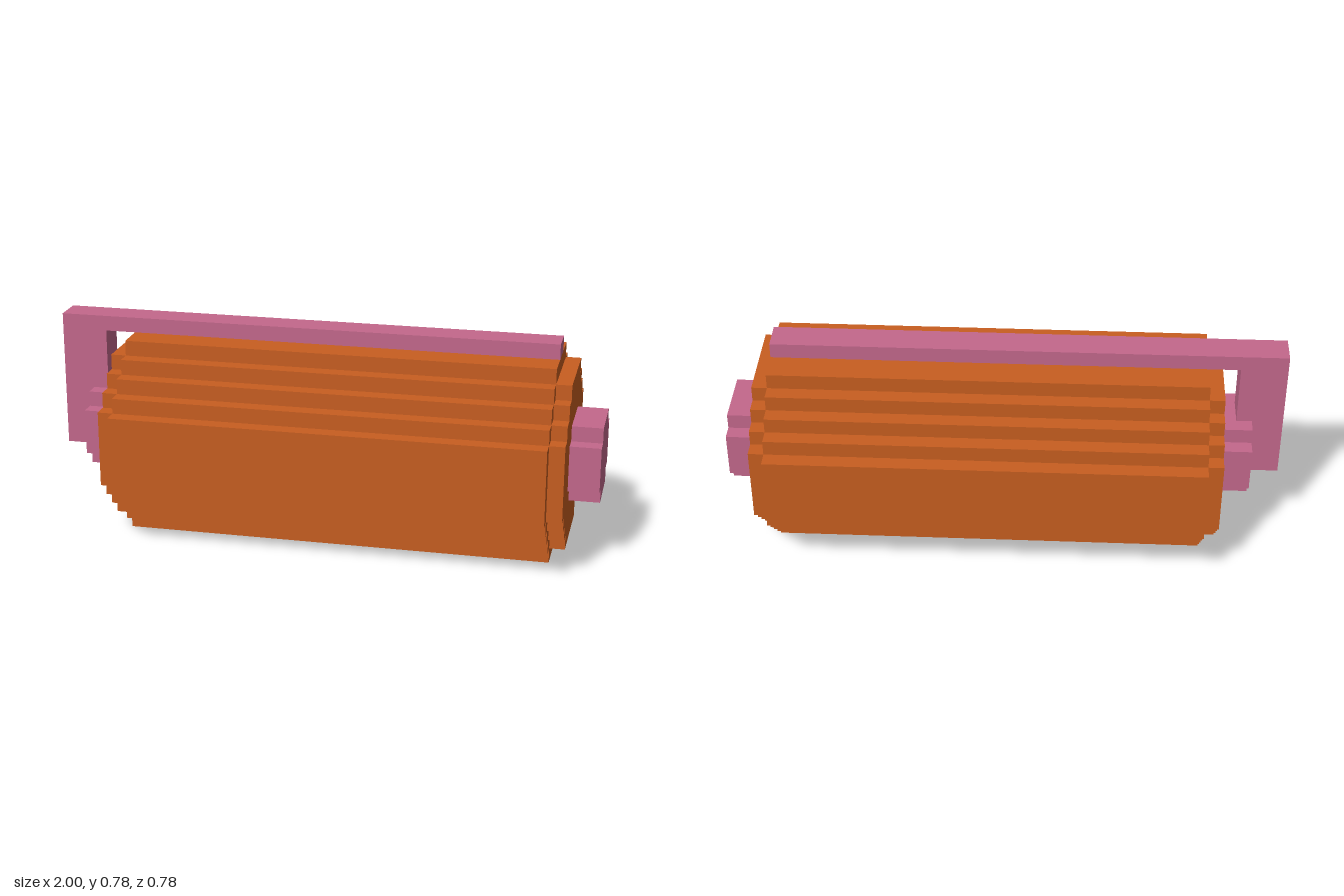
import * as THREE from 'three';

const U = 1 / 18; // size of one block step
const MID = 6.5;  // height of the roller axis, in steps

// Stepped round section: each step is [half width, bottom]; the top half mirrors the bottom.
function steppedShape(steps) {
  const right = [];
  steps.forEach(([w, y], i) => {
    right.push([w, y]);
    if (i < steps.length - 1) right.push([w, steps[i + 1][1]]);
  });
  right.push(...right.slice().reverse().map(([w, y]) => [w, 2 * MID - y]));
  const left = right.slice().reverse().map(([w, y]) => [-w, y]);
  return new THREE.Shape([...right, ...left].map(([x, y]) => new THREE.Vector2(x * U, y * U)));
}

// Section extruded along x from x0 to x1 (in steps).
function steppedBar(name, steps, x0, x1, material) {
  const geometry = new THREE.ExtrudeGeometry(steppedShape(steps), { depth: (x1 - x0) * U, bevelEnabled: false });
  geometry.rotateY(Math.PI / 2).translate(x0 * U, 0, 0);
  const mesh = new THREE.Mesh(geometry, material);
  mesh.name = name;
  return mesh;
}

export function createModel() {
  const orange = new THREE.MeshStandardMaterial({ color: 0xc85e20 });
  orange.name = 'burnt orange';
  const pink = new THREE.MeshStandardMaterial({ color: 0xc4688c });
  pink.name = 'dusty pink';

  const group = new THREE.Group();
  group.name = 'roller';

  // Wide drum and the narrower core that sticks out at both ends
  group.add(steppedBar('drum', [[3, 0], [4, 1], [5, 2], [6, 3], [7, 4]], -13, 15, orange));
  const core = [[3, 1], [4, 2], [5, 3], [6, 4]];
  group.add(steppedBar('rightDrumEnd', core, -14, -13, orange));
  group.add(steppedBar('leftDrumEnd', core, 15, 16, orange));

  // End knobs
  const knob = [[2, 4], [3, 5]];
  group.add(steppedBar('rightKnob', knob, -16, -14, pink));
  group.add(steppedBar('leftKnob', knob, 16, 18, pink));

  // L-shaped handle: arm down to the knob, bar along the top
  const outline = [[-18, 5], [-15, 5], [-15, 13], [15, 13], [15, 14], [-18, 14]];
  const shape = new THREE.Shape(outline.map(([x, y]) => new THREE.Vector2(x * U, y * U)));
  const geometry = new THREE.ExtrudeGeometry(shape, { depth: 2 * U, bevelEnabled: false });
  geometry.translate(0, 0, -U);
  const handle = new THREE.Mesh(geometry, pink);
  handle.name = 'handle';
  group.add(handle);

  return group;
}
